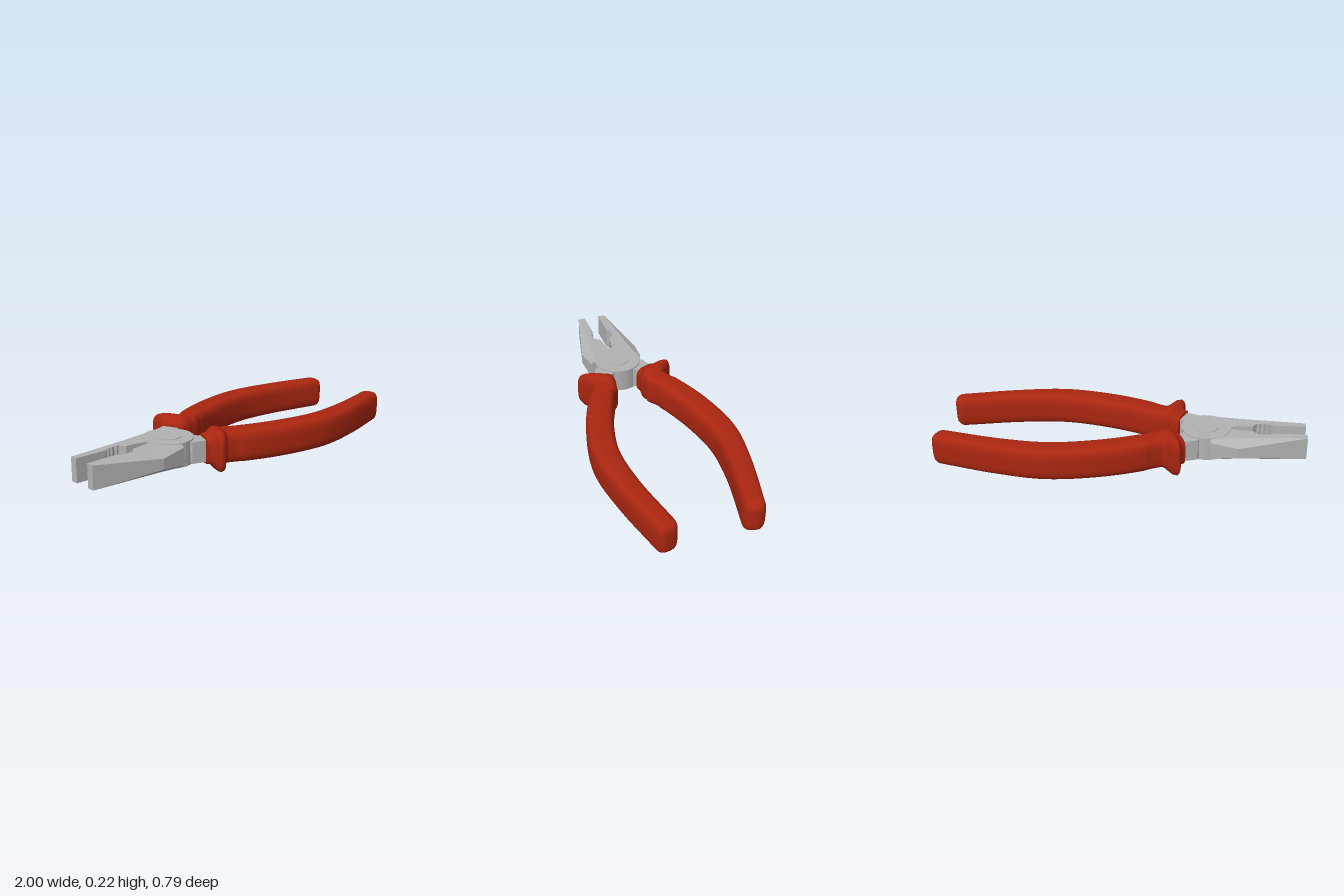
import * as THREE from 'three';

const steel = new THREE.MeshStandardMaterial({ color: 0xb2b2b2 });
steel.name = 'steel';
const redGrip = new THREE.MeshStandardMaterial({ color: 0xaa2610 });
redGrip.name = 'red grip';

const PIVOT_X = -0.465;

function addMesh(parent, name, geometry, material) {
  const mesh = new THREE.Mesh(geometry, material);
  mesh.name = name;
  parent.add(mesh);
  return mesh;
}

// Skin over equal-length rings that advance along +x and run from +z towards +y; both ends capped
function loft(rings, flat) {
  const n = rings[0].length;
  const points = rings.flat();
  const index = [];
  for (let i = 0; i < rings.length - 1; i++) {
    for (let j = 0; j < n; j++) {
      const a = i * n + j, b = i * n + (j + 1) % n;
      index.push(a, a + n, b, b, a + n, b + n);
    }
  }
  [0, rings.length - 1].forEach((r, end) => {
    const centre = new THREE.Vector3();
    rings[r].forEach((p) => centre.addScaledVector(p, 1 / n));
    points.push(centre);
    for (let j = 0; j < n; j++) {
      const a = r * n + j, b = r * n + (j + 1) % n;
      if (end) index.push(points.length - 1, b, a);
      else index.push(points.length - 1, a, b);
    }
  });
  let geometry = new THREE.BufferGeometry().setFromPoints(points);
  geometry.setIndex(index);
  if (flat) geometry = geometry.toNonIndexed();
  geometry.computeVertexNormals();
  return geometry;
}

// Rounded-rectangle ring: half width w across the handle, half height h, turned by angle in plan
function gripRing(x, z, w, h, angle) {
  const soft = (v) => Math.sign(v) * Math.pow(Math.abs(v), 0.55);
  return Array.from({ length: 40 }, (_, j) => {
    const t = (j / 40) * Math.PI * 2;
    const across = w * soft(Math.cos(t));
    return new THREE.Vector3(x - Math.sin(angle) * across, h * soft(Math.sin(t)), z + Math.cos(angle) * across);
  });
}

function gripGeometry() {
  // Collar, then thumb guard: x, z, half width, half height
  const guard = [
    [-0.337, 0.128, 0.062, 0.068], [-0.333, 0.130, 0.070, 0.075], [-0.312, 0.137, 0.070, 0.077],
    [-0.306, 0.160, 0.092, 0.096], [-0.300, 0.172, 0.104, 0.104], [-0.291, 0.176, 0.111, 0.109],
    [-0.272, 0.176, 0.106, 0.108], [-0.256, 0.168, 0.091, 0.102], [-0.238, 0.155, 0.079, 0.094],
  ];
  const rings = guard.map((g) => gripRing(...g, 0.4));

  // Curved body
  const body = [
    [-0.215, 0.150, 0.073, 0.090], [-0.13, 0.196, 0.073, 0.090], [0.085, 0.273, 0.075, 0.090],
    [0.355, 0.320, 0.073, 0.090], [0.62, 0.294, 0.064, 0.090], [0.945, 0.222, 0.057, 0.089],
  ];
  const path = new THREE.CatmullRomCurve3(body.map((b) => new THREE.Vector3(b[0], 0, b[1])));
  const size = new THREE.CatmullRomCurve3(body.map((b) => new THREE.Vector3(b[2], b[3], 0)));
  for (let i = 0; i <= 40; i++) {
    const p = path.getPoint(i / 40), t = path.getTangent(i / 40), s = size.getPoint(i / 40);
    rings.push(gripRing(p.x, p.z, s.x, s.y, Math.atan2(t.z, t.x)));
  }

  // Rounded butt end
  const end = path.getPoint(1), dir = path.getTangent(1);
  for (let k = 1; k <= 8; k++) {
    const a = (k / 8) * Math.PI / 2;
    const out = 0.047 * Math.sin(a), shrink = 0.042 * (1 - Math.cos(a));
    rings.push(gripRing(end.x + dir.x * out, end.z + dir.z * out,
      0.057 - shrink, 0.089 - shrink, Math.atan2(dir.z, dir.x)));
  }
  return loft(rings, false);
}

function jawGeometry() {
  // Biting edge: x, z (flat nose, toothed pipe hollow, cutter, joint)
  const inner = [
    [-1, 0.045], [-0.88, 0.044], [-0.825, 0.044], [-0.81, 0.058], [-0.80, 0.053], [-0.785, 0.064],
    [-0.775, 0.058], [-0.76, 0.064], [-0.75, 0.056], [-0.738, 0.058], [-0.715, 0.028],
    [-0.636, 0.019], [-0.60, 0.012], [-0.53, 0], [-0.49, 0],
  ];
  const h = 0.063;
  const rings = inner.map(([x, zi]) => {
    const zo = x < -0.636 ? THREE.MathUtils.mapLinear(x, -1, -0.636, 0.085, 0.167)
      : THREE.MathUtils.mapLinear(x, -0.636, -0.49, 0.167, 0.152);
    // Outer chamfer grows from the nose towards the joint
    const k = x < -0.636 ? (x + 1) / 0.364 : 1 - (x + 0.636) / 0.25;
    const c = 0.002 + 0.055 * k, e = h - 0.001 - 0.034 * k;
    return [[zo, -e], [zo, e], [zo - c, h], [zi, h], [zi, -h], [zo - c, -h]]
      .map(([z, y]) => new THREE.Vector3(x, y, z));
  });
  return loft(rings, true);
}

// Steel neck joining the pivot to the grip
function tangGeometry() {
  const outline = [
    [-0.45, 0.04], [-0.425, 0.143], [-0.358, 0.167], [-0.31, 0.17],
    [-0.27, 0.105], [-0.33, 0.078], [-0.36, 0.03],
  ].map((p) => new THREE.Vector2(...p));
  return new THREE.ExtrudeGeometry(new THREE.Shape(outline), { depth: 0.116, bevelEnabled: false })
    .translate(0, 0, -0.058).rotateX(Math.PI / 2);
}

export function createModel() {
  const model = new THREE.Group();
  model.name = 'pliers';
  const tool = new THREE.Group();
  tool.name = 'tool';
  tool.position.set(0, 0.109, -0.012);
  tool.rotation.set(0, -0.01, -0.017);
  model.add(tool);

  // Two matching halves, the second turned over about the long axis
  const parts = [['jaw', jawGeometry(), steel], ['tang', tangGeometry(), steel], ['grip', gripGeometry(), redGrip]];
  ['leftHalf', 'rightHalf'].forEach((name, i) => {
    const half = new THREE.Group();
    half.name = name;
    half.rotation.x = i * Math.PI;
    parts.forEach((p) => addMesh(half, ...p));
    tool.add(half);
  });

  // Pivot head and rivet
  addMesh(tool, 'pivotHead', new THREE.CylinderGeometry(0.134, 0.134, 0.13, 48), steel).position.x = PIVOT_X;
  addMesh(tool, 'rivet', new THREE.CylinderGeometry(0.066, 0.066, 0.136, 40), steel).position.x = PIVOT_X;
  return model;
}
